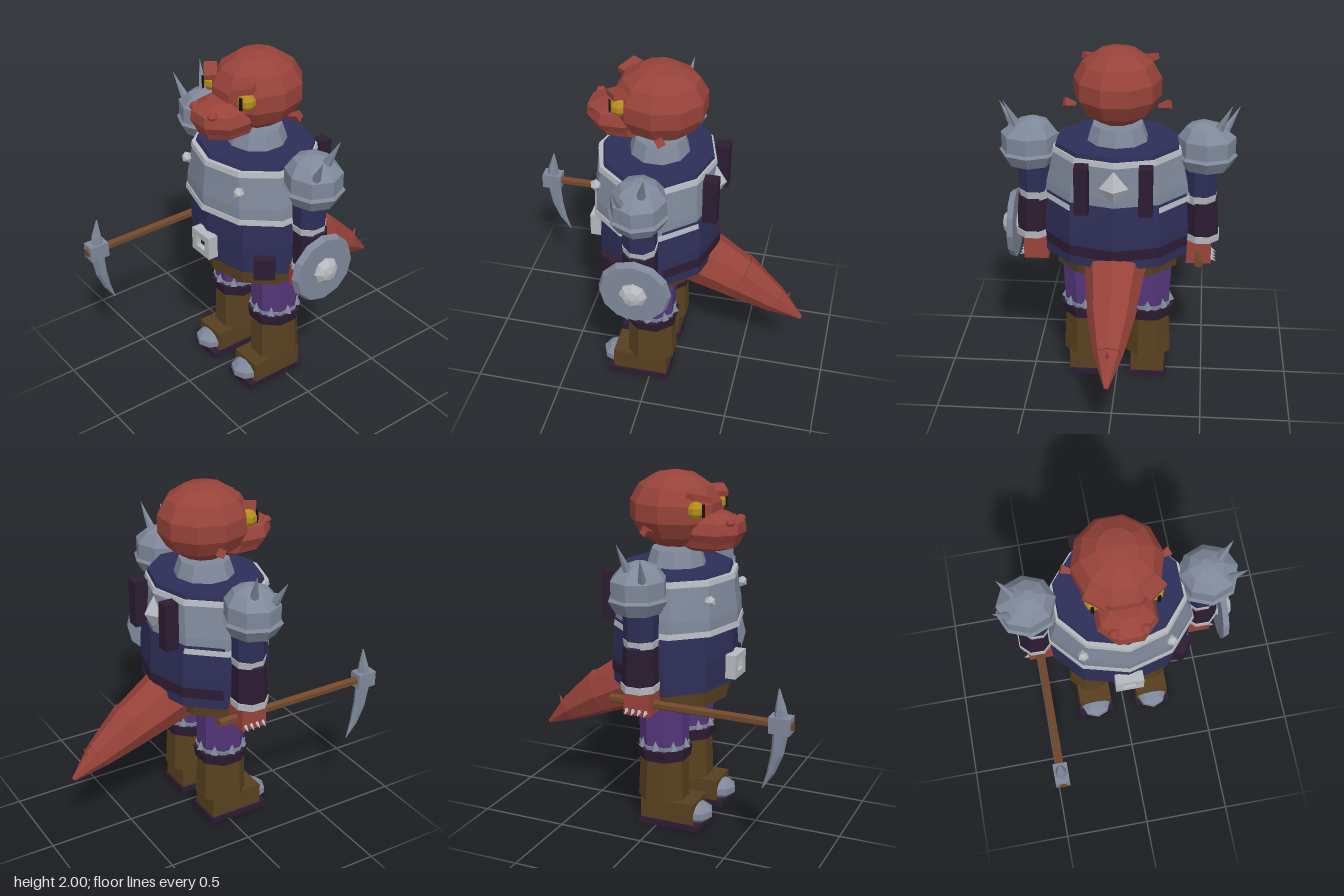
import * as THREE from 'three';

const mat = (name, color) => {
  const m = new THREE.MeshStandardMaterial({ color });
  m.name = name;
  return m;
};

export function createModel() {
  const model = new THREE.Group();
  const red = mat('redScales', 0x98433a), navy = mat('navyCloth', 0x2e2f58), steel = mat('steel', 0x7f889a);
  const silver = mat('silverTrim', 0xb6babf), brown = mat('brownLeather', 0x58401f), purple = mat('purpleCloth', 0x55367a);
  const dark = mat('darkLeather', 0x2c1c32), yellow = mat('yellowEye', 0xb48c1c), wood = mat('wood', 0x70472a);
  const black = mat('blackPupil', 0x141014);

  // Faceted mesh
  const add = (name, geo, m, x = 0, y = 0, z = 0) => {
    const g = geo.index ? geo.toNonIndexed() : geo;
    g.computeVertexNormals();
    const mesh = new THREE.Mesh(g, m);
    mesh.name = name;
    mesh.position.set(x, y, z);
    model.add(mesh);
    return mesh;
  };
  const box = (name, m, w, h, d, x, y, z) => add(name, new THREE.BoxGeometry(w, h, d), m, x, y, z);
  const ball = (name, m, rx, ry, rz, x, y, z, w = 8, h = 5) =>
    add(name, new THREE.SphereGeometry(1, w, h).scale(rx, ry, rz), m, x, y, z);

  // Solid through horizontal rings [y, rx, rz, x, z], listed from the bottom up
  const loft = (name, m, rings, n = 10, phase = 0) => {
    const pos = [], idx = [];
    const bottom = rings[0], top = rings[rings.length - 1];
    for (const [y, rx, rz, x = 0, z = 0] of rings)
      for (let j = 0; j < n; j++) {
        const a = phase + (j / n) * Math.PI * 2;
        pos.push(x + rx * Math.sin(a), y, z + rz * Math.cos(a));
      }
    for (const [y, , , x = 0, z = 0] of [bottom, top]) pos.push(x, y, z);
    const last = (rings.length - 1) * n, c = rings.length * n;
    for (let j = 0; j < n; j++) {
      const k = (j + 1) % n;
      for (let i = 0; i < last; i += n) idx.push(i + j, i + k, i + n + k, i + j, i + n + k, i + n + j);
      idx.push(c, k, j, c + 1, last + j, last + k);
    }
    const g = new THREE.BufferGeometry();
    g.setAttribute('position', new THREE.Float32BufferAttribute(pos, 3));
    g.setIndex(idx);
    return add(name, g, m);
  };

  // Tapered bar from a to b
  const bar = (name, m, a, b, ra, rb, n = 6) => {
    const A = new THREE.Vector3(...a), B = new THREE.Vector3(...b);
    const mesh = add(name, new THREE.CylinderGeometry(rb, ra, A.distanceTo(B), n), m);
    mesh.position.copy(A).add(B).multiplyScalar(0.5);
    mesh.quaternion.setFromUnitVectors(new THREE.Vector3(0, 1, 0), B.clone().sub(A).normalize());
    return mesh;
  };

  // Torso, breastplate and skirt
  loft('tunic', navy, [[0.83, 0.415, 0.34], [1.0, 0.42, 0.345], [1.2, 0.405, 0.335]]);
  loft('skirt', brown, [[0.73, 0.355, 0.275, 0, 0.03], [0.84, 0.365, 0.29, 0, 0.03]]);
  loft('belt', dark, [[0.89, 0.414, 0.342, 0, -0.008], [0.95, 0.414, 0.342, 0, -0.008]]);
  loft('breastplate', steel, [[1.16, 0.42, 0.347, 0, 0.02], [1.25, 0.41, 0.345, 0, 0.02], [1.45, 0.36, 0.325, 0, 0.015]]);
  loft('lowerPlateTrim', silver, [[1.155, 0.427, 0.357, 0, 0.02], [1.185, 0.422, 0.353, 0, 0.02]]);
  loft('upperPlateTrim', silver, [[1.425, 0.374, 0.335, 0, 0.015], [1.455, 0.367, 0.33, 0, 0.015]]);
  loft('tunicCollar', navy, [[1.44, 0.358, 0.315, 0, 0.01], [1.48, 0.35, 0.305, 0, 0.005]]);
  loft('gorget', steel, [[1.47, 0.175, 0.17], [1.57, 0.142, 0.14]]);

  // Belt buckle with an open frame
  const frame = new THREE.Shape([[-0.08, -0.068], [0.08, -0.068], [0.08, 0.068], [-0.08, 0.068]].map(p => new THREE.Vector2(...p)));
  frame.holes.push(new THREE.Path([[-0.04, -0.03], [-0.04, 0.03], [0.04, 0.03], [0.04, -0.03]].map(p => new THREE.Vector2(...p))));
  add('buckleFrame', new THREE.ExtrudeGeometry(frame, { depth: 0.06, bevelEnabled: false }), silver, 0, 0.938, 0.33);
  box('buckleCentre', dark, 0.09, 0.07, 0.04, 0, 0.938, 0.34);
  box('beltPouch', dark, 0.12, 0.13, 0.07, 0.335, 0.885, 0.2).rotation.y = 0.95;

  // Back straps and faceted stud
  for (const s of [-1, 1]) box('backStrap', dark, 0.075, 0.27, 0.08, s * 0.172, 1.305, -0.32);
  add('backStud', new THREE.OctahedronGeometry(1).scale(0.08, 0.1, 0.06), silver, 0, 1.31, -0.315);

  // Head, snout and jaw
  ball('head', red, 0.245, 0.215, 0.262, 0, 1.785, -0.005, 10, 7);
  loft('upperSnout', red, [[1.635, 0.15, 0.15, 0, 0.22], [1.68, 0.172, 0.175, 0, 0.225],
    [1.74, 0.15, 0.17, 0, 0.225], [1.785, 0.09, 0.1, 0, 0.2]], 8, Math.PI / 8);
  loft('lowerJaw', red, [[1.575, 0.08, 0.1, 0, 0.17], [1.6, 0.13, 0.16, 0, 0.2], [1.645, 0.145, 0.165, 0, 0.215]], 8, Math.PI / 8);

  for (const s of [-1, 1]) {
    // Face details
    ball('eye', yellow, 0.05, 0.05, 0.05, s * 0.155, 1.81, 0.18);
    const pupil = box('pupil', black, 0.016, 0.07, 0.009, s * 0.168, 1.815, 0.229);
    pupil.rotation.y = s * 0.35;
    const brow = box('brow', red, 0.12, 0.032, 0.07, s * 0.145, 1.878, 0.195);
    brow.rotation.set(0, s * 0.6, s * 0.22);
    ball('nostril', red, 0.03, 0.022, 0.03, s * 0.08, 1.745, 0.345, 6, 4);
    bar('ear', red, [s * 0.225, 1.685, -0.045], [s * 0.285, 1.705, -0.065], 0.015, 0.032, 4);
    add('plateRivet', new THREE.IcosahedronGeometry(0.032), silver, s * 0.24, 1.348, 0.3);

    // Pauldron with two spikes
    const px = s * 0.49;
    loft('pauldron', steel, [[1.325, 0.13, 0.125, px], [1.395, 0.172, 0.165, px], [1.41, 0.158, 0.15, px],
      [1.5, 0.16, 0.15, px], [1.56, 0.1, 0.1, px - s * 0.015], [1.59, 0.03, 0.03, px - s * 0.02]], 8);
    bar('pauldronSpike', steel, [s * 0.53, 1.5, -0.02], [s * 0.62, 1.7, -0.06], 0.035, 0.001);
    bar('pauldronSpike', steel, [s * 0.56, 1.46, 0.06], [s * 0.667, 1.645, 0.095], 0.035, 0.001);

    // Arm, bracer and clawed hand
    const ax = s * 0.465, p8 = Math.PI / 8;
    loft('upperArm', navy, [[1.13, 0.09, 0.09, ax], [1.4, 0.1, 0.1, ax]], 8, p8);
    loft('elbowTrim', silver, [[1.12, 0.088, 0.09, ax], [1.17, 0.094, 0.097, ax]], 8, p8);
    loft('bracer', dark, [[0.9, 0.1, 0.1, s * 0.48], [1.13, 0.094, 0.095, s * 0.473]], 8, p8);
    loft('wristTrim', silver, [[0.89, 0.102, 0.104, s * 0.48], [0.93, 0.104, 0.106, s * 0.48]], 8, p8);
    box('hand', red, 0.14, 0.13, 0.15, s * 0.463, 0.82, 0);
    for (let i = 0; i < 4; i++) {
      const z = -0.055 + i * 0.037;
      bar('claw', silver, [s * 0.525, 0.785, z], [s * 0.562, 0.765, z], 0.014, 0.001, 5);
    }

    // Leg, knee band and boot
    const lx = s * 0.18;
    loft('thigh', purple, [[0.48, 0.13, 0.138, lx, 0.005], [0.75, 0.145, 0.147, lx, 0.005]], 8, p8);
    loft('kneeGuard', steel, [[0.45, 0.132, 0.14, lx, 0.005], [0.488, 0.138, 0.146, lx, 0.005]], 8, p8);
    for (let i = 0; i < 8; i++) {
      const a = (i / 8) * Math.PI * 2, x = lx + 0.123 * Math.sin(a), z = 0.005 + 0.131 * Math.cos(a);
      bar('kneeTooth', steel, [x, 0.47, z], [x, 0.522, z], 0.028, 0.001, 4);
    }
    loft('bootCuff', dark, [[0.4, 0.142, 0.15, lx, 0.005], [0.465, 0.155, 0.16, lx, 0.005]], 8, p8);
    loft('bootShaft', brown, [[0.155, 0.143, 0.147, lx, 0.003], [0.41, 0.128, 0.138, lx, 0.005]], 8, p8);
    box('bootFoot', brown, 0.195, 0.13, 0.32, lx, 0.093, 0.06);
    box('bootSole', dark, 0.212, 0.035, 0.37, lx, 0.0175, 0.075);
    ball('toeCap', steel, 0.095, 0.06, 0.095, lx, 0.082, 0.21);
  }

  // Tail in overlapping segments
  bar('tailBase', red, [0, 0.8, -0.19], [0, 0.65, -0.475], 0.175, 0.132, 8);
  bar('tailMiddle', red, [0, 0.66, -0.465], [0, 0.515, -0.69], 0.14, 0.08, 8);
  bar('tailTip', red, [0, 0.515, -0.69], [0, 0.402, -0.848], 0.08, 0.012, 8);
  bar('tailSpike', red, [0, 0.52, -0.75], [0, 0.585, -0.775], 0.02, 0.001, 4);

  // Round shield with domed boss
  bar('shield', steel, [0.575, 0.94, 0.005], [0.612, 0.94, 0.005], 0.2, 0.185, 12);
  const boss = ball('shieldBoss', silver, 0.08, 0.055, 0.08, 0.608, 0.94, 0.005);
  boss.rotation.z = -Math.PI / 2;

  // Pickaxe held in the right hand
  const hx = -0.465;
  bar('pickHandle', wood, [hx, 0.81, -0.185], [hx, 0.81, 0.857], 0.025, 0.025);
  box('pickHead', steel, 0.08, 0.09, 0.115, hx, 0.81, 0.79);
  loft('pickBlade', steel, [[0.437, 0.003, 0.003, hx, 0.695], [0.53, 0.022, 0.022, hx, 0.74], [0.64, 0.034, 0.035, hx, 0.772],
    [0.8, 0.042, 0.045, hx, 0.792], [0.9, 0.028, 0.03, hx, 0.785], [1.0, 0.004, 0.004, hx, 0.775]], 6);

  return model;
}
